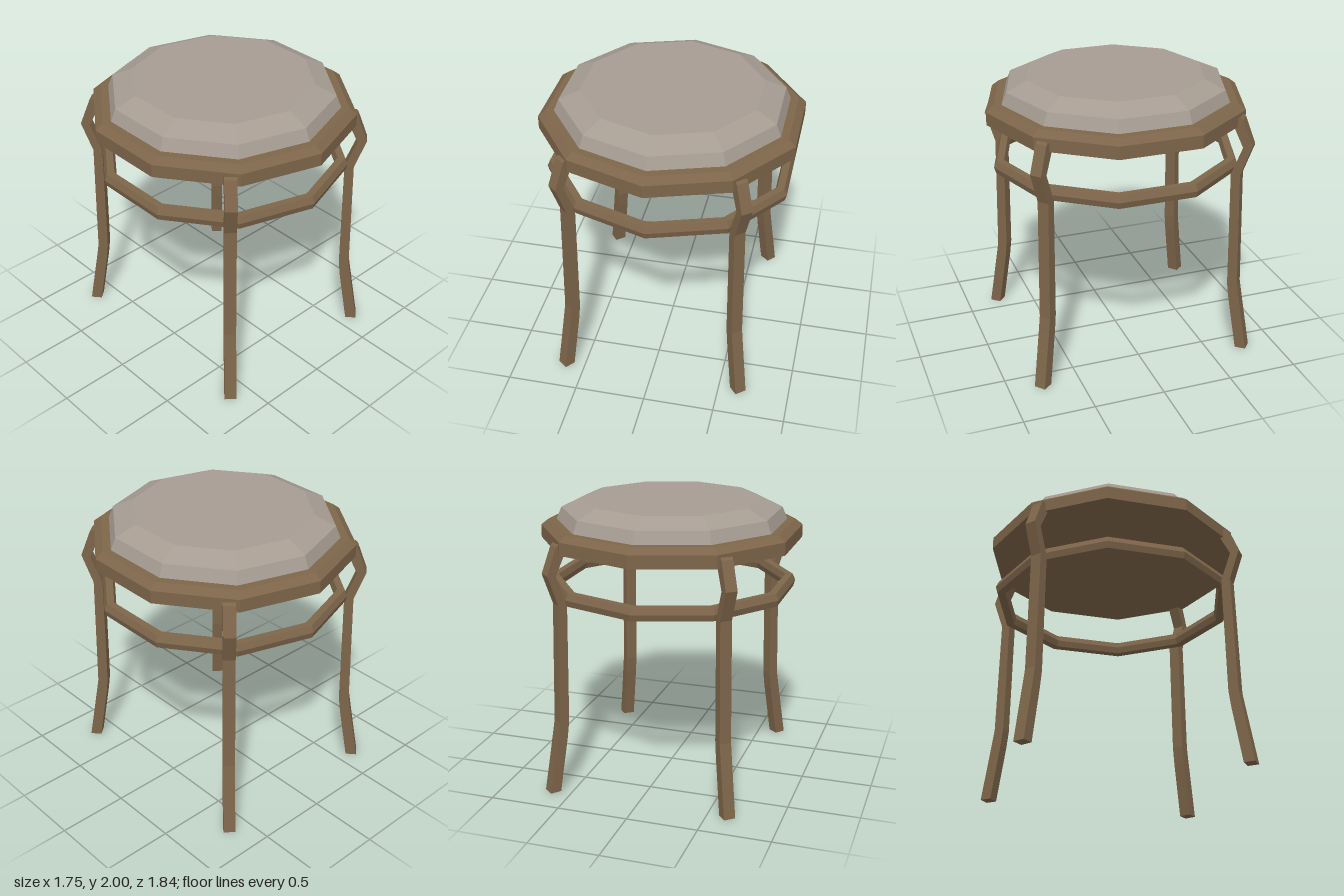
import * as THREE from 'three';

const SIDES = 10;

const material = (color) =>
  new THREE.MeshStandardMaterial({ color, flatShading: true });

// Ten-sided turned part from [radius, y] points, listed bottom to top on the outside
function turned(name, points, mat) {
  const profile = points.map(([r, y]) => new THREE.Vector2(r, y));
  const mesh = new THREE.Mesh(new THREE.LatheGeometry(profile, SIDES), mat);
  mesh.name = name;
  return mesh;
}

// Bent leg: side outline (radius, y) extruded to the leg's width
function legGeometry(width) {
  const outer = [[1.033, 0], [0.965, 0.4], [0.945, 0.52], [0.925, 1.37], [1.0, 1.585], [0.927, 1.775]];
  const inner = [[0.91, 1.79], [0.85, 1.755], [0.936, 1.575], [0.86, 1.37], [0.873, 0.52], [0.888, 0.4], [0.954, 0]];
  const outline = [...outer, ...inner].map(([r, y]) => new THREE.Vector2(r, y));
  const geometry = new THREE.ExtrudeGeometry(new THREE.Shape(outline), {
    depth: width,
    bevelEnabled: false,
  });
  return geometry.translate(0, 0, -width / 2);
}

export function createModel() {
  const model = new THREE.Group();
  model.name = 'stool';
  const wood = material(0x7d654a);
  const fabric = material(0xa69c92);

  // Seat frame with chamfered edge and closed underside
  model.add(turned('seatFrame',
    [[0, 1.72], [0.92, 1.72], [0.92, 1.81], [0.868, 1.85], [0, 1.85]], wood));

  // Padded seat
  model.add(turned('cushion',
    [[0.81, 1.85], [0.775, 1.935], [0.63, 2], [0, 2]], fabric));

  // Stretcher ring just inside the legs
  model.add(turned('stretcherRing',
    [[0.81, 1.36], [0.87, 1.36], [0.883, 1.405], [0.862, 1.45],
      [0.81, 1.45], [0.795, 1.405], [0.81, 1.36]], wood));

  // Four legs, mirrored left to right and front to back
  const geometry = legGeometry(0.083);
  const spread = THREE.MathUtils.degToRad(50);
  for (const angle of [spread, -spread, Math.PI - spread, Math.PI + spread]) {
    const leg = new THREE.Mesh(geometry, wood);
    leg.name = 'leg';
    leg.rotation.y = angle;
    model.add(leg);
  }
  return model;
}
